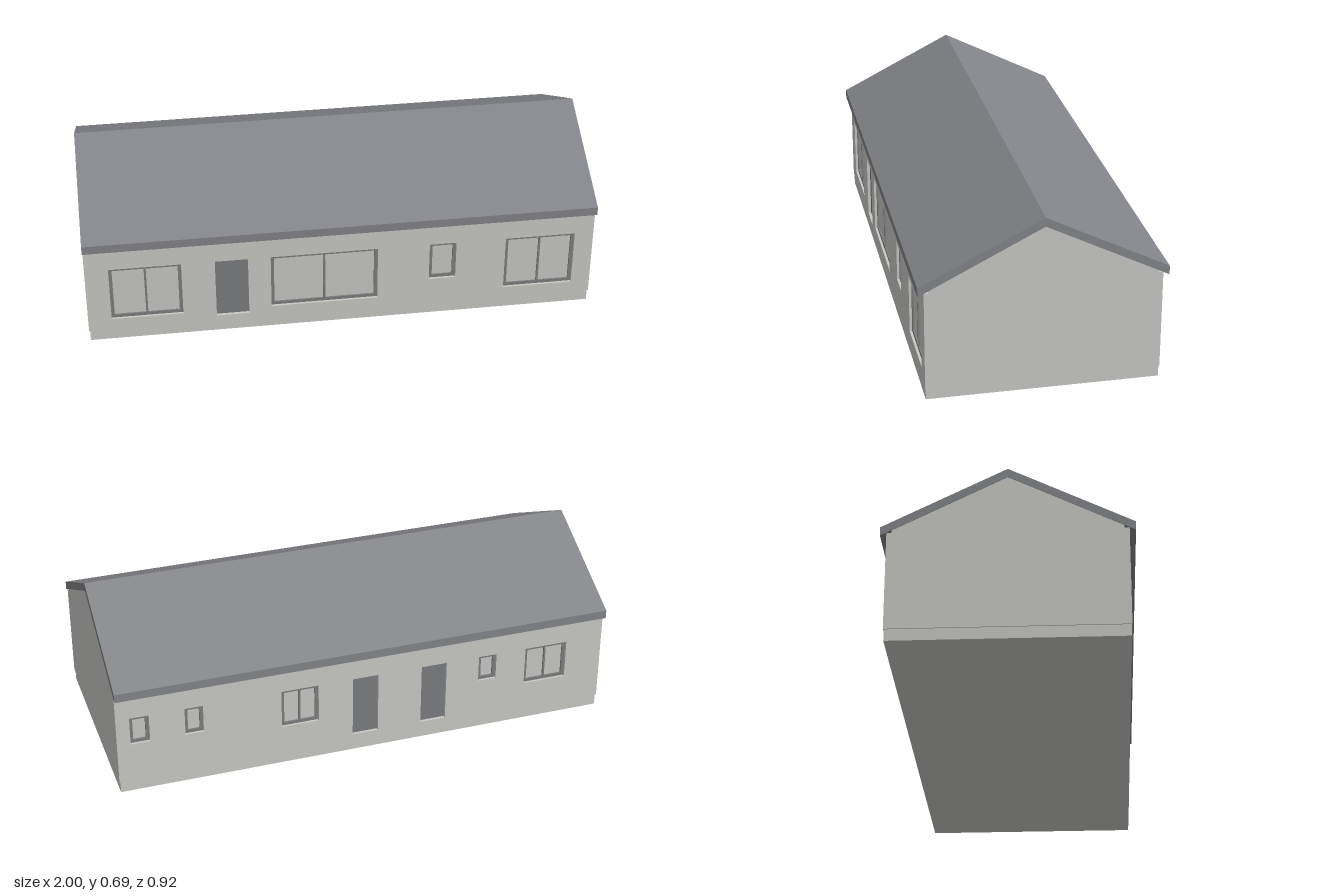
import * as THREE from 'three';

const mat = (name, color) => {
  const m = new THREE.MeshStandardMaterial({ color });
  m.name = name;
  return m;
};

export function createModel() {
  const house = new THREE.Group();
  house.name = 'house';
  const wallMat = mat('pale grey wall', 0xc9c9c6);
  const glassMat = mat('pale glass', 0xc8c9c7);
  const roofMat = mat('slate roof', 0x84858a);
  const frameMat = mat('grey frame', 0x7c7f7e);
  const doorMat = mat('grey door', 0x7c7d81);

  const HX = 0.998, HZ = 0.4375, RECESS = 0.018, BASE = 0.045, TOP = 0.43;
  const PITCH = 0.504, RIDGE = 0.685, THICK = 0.034, EAVE = 0.46;

  const add = (parent, name, geometry, material, x = 0, y = 0, z = 0) => {
    const mesh = new THREE.Mesh(geometry, material);
    mesh.name = name;
    mesh.position.set(x, y, z);
    parent.add(mesh);
    return mesh;
  };
  const polygon = pts => new THREE.Shape(pts.map(p => new THREE.Vector2(...p)));
  const rect = (x0, x1, y0, y1) => polygon([[x0, y0], [x1, y0], [x1, y1], [x0, y1]]);
  const extrude = (shape, depth) => new THREE.ExtrudeGeometry(shape, { depth, bevelEnabled: false });
  // Extrude a (z, y) profile along the length of the house
  const alongX = (pts, half) =>
    extrude(polygon(pts), half * 2).translate(0, 0, -half).rotateY(Math.PI / 2);

  // Plinth, set in slightly from the walls
  add(house, 'plinth', new THREE.BoxGeometry(1.988, BASE, 0.87), wallMat, 0, BASE / 2, 0);

  // Gabled core behind the long walls
  const iz = HZ - RECESS, peak = RIDGE - THICK;
  const side = peak - iz * PITCH;
  add(house, 'gableBody', alongX([[-iz, BASE], [iz, BASE], [iz, side], [0, peak], [-iz, side]], HX), wallMat);

  // Pitched roof slab with vertical eaves
  const eaveTop = RIDGE - EAVE * PITCH, eaveLow = eaveTop - THICK;
  add(house, 'roof', alongX([
    [-EAVE, eaveLow], [0, peak], [EAVE, eaveLow],
    [EAVE, eaveTop], [0, RIDGE], [-EAVE, eaveTop],
  ], 1), roofMat);

  // A long wall with openings: [kind, x0, x1, y0], all heads at the same height
  const HEAD = 0.325, F = 0.013;
  function longWall(name, openings) {
    const wall = new THREE.Group();
    wall.name = name;
    const shape = rect(-HX, HX, BASE, TOP);
    for (const [, x0, x1, y0] of openings) shape.holes.push(rect(x0, x1, y0, HEAD));
    add(wall, name + 'Panel', extrude(shape, RECESS), wallMat, 0, 0, iz);

    for (const [kind, x0, x1, y0] of openings) {
      const cx = (x0 + x1) / 2, cy = (y0 + HEAD) / 2, w = x1 - x0, h = HEAD - y0;
      if (kind === 'door') {
        add(wall, 'door', new THREE.BoxGeometry(w, h, 0.006), doorMat, cx, cy, iz + 0.003);
        continue;
      }
      add(wall, 'glass', new THREE.BoxGeometry(w, h, 0.002), glassMat, cx, cy, iz + 0.001);
      const frame = rect(x0, x1, y0, HEAD);
      const panes = kind === 'double'
        ? [[x0 + F, cx - 0.004], [cx + 0.004, x1 - F]]
        : [[x0 + F, x1 - F]];
      for (const [a, b] of panes) frame.holes.push(rect(a, b, y0 + F, HEAD - F));
      add(wall, 'windowFrame', extrude(frame, 0.008), frameMat, 0, 0, iz);
    }
    house.add(wall);
    return wall;
  }

  longWall('frontWall', [
    ['double', -0.907, -0.628, 0.094],
    ['door', -0.498, -0.37, 0.07],
    ['double', -0.282, 0.138, 0.094],
    ['single', 0.343, 0.449, 0.163],
    ['double', 0.646, 0.923, 0.094],
  ]);

  // Seen from behind, so x runs from the house's left to its right
  longWall('backWall', [
    ['single', -0.945, -0.87, 0.21],
    ['single', -0.732, -0.66, 0.21],
    ['double', -0.35, -0.2, 0.165],
    ['door', -0.06, 0.045, 0.07],
    ['door', 0.225, 0.33, 0.07],
    ['single', 0.467, 0.542, 0.215],
    ['double', 0.667, 0.845, 0.165],
  ]).rotation.y = Math.PI;

  return house;
}
